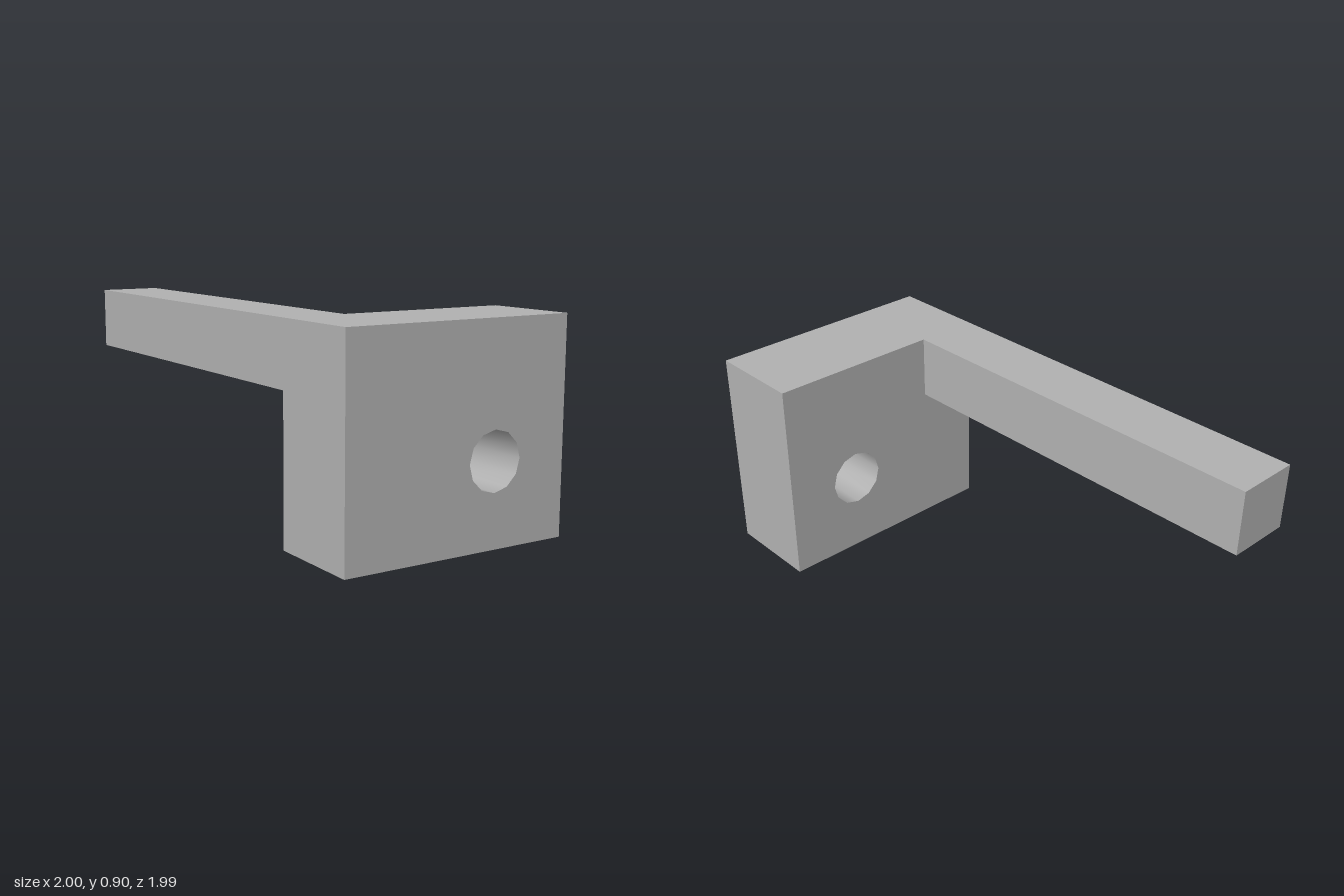
import * as THREE from 'three';
import { toCreasedNormals } from 'three/addons/utils/BufferGeometryUtils.js';

export function createModel() {
  const grey = new THREE.MeshStandardMaterial({ color: 0xb0b0b0 });
  grey.name = 'grey';

  const width = 1.036, height = 0.9, thickness = 0.42;
  const armWidth = 0.274, armHeight = 0.275, totalLength = 2.155;

  // Thick plate with a twelve-sided bore, its front outer corner at the origin
  const outline = new THREE.Shape([
    new THREE.Vector2(0, 0), new THREE.Vector2(width, 0),
    new THREE.Vector2(width, height), new THREE.Vector2(0, height),
  ]);
  const bore = [];
  for (let i = 0; i < 12; i++) {
    const a = -i * Math.PI / 6;
    bore.push(new THREE.Vector2(0.688 + 0.124 * Math.cos(a), 0.35 + 0.124 * Math.sin(a)));
  }
  outline.holes.push(new THREE.Path(bore));
  const plateGeometry = new THREE.ExtrudeGeometry(outline, { depth: thickness, bevelEnabled: false });
  plateGeometry.translate(0, 0, -thickness);
  const plate = new THREE.Mesh(toCreasedNormals(plateGeometry, 0.6), grey);
  plate.name = 'boredPlate';

  // Long arm running back from the top of the plate
  const armLength = totalLength - thickness;
  const arm = new THREE.Mesh(new THREE.BoxGeometry(armWidth, armHeight, armLength), grey);
  arm.name = 'arm';
  arm.position.set(armWidth / 2, height - armHeight / 2, -thickness - armLength / 2);

  // Turn the whole bracket about its front corner
  const bracket = new THREE.Group();
  bracket.name = 'bracket';
  bracket.add(plate, arm);
  bracket.rotation.y = THREE.MathUtils.degToRad(30.95);
  bracket.position.set(0.11, 0, 0.994);

  const model = new THREE.Group();
  model.name = 'angleBracket';
  model.add(bracket);
  return model;
}
